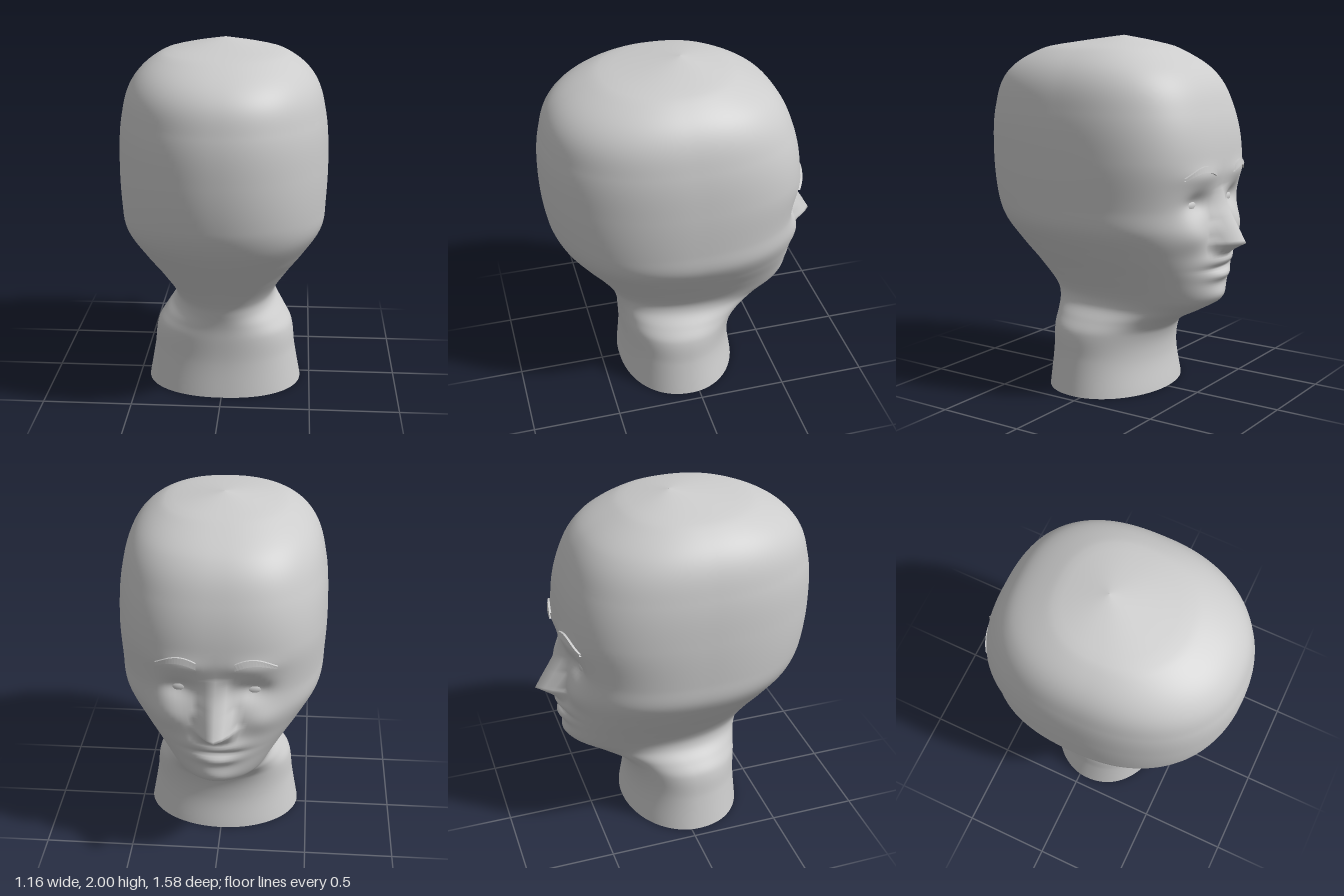
import * as THREE from 'three';

// Horizontal cross-sections: y, half width, face z, back z, squareness of the face half
const ROWS = [
  [0, .445, -.30, .39, 2],
  [.2, .41, -.275, .375, 2],
  [.35, .39, -.305, .38, 2],
  [.42, .345, -.38, .385, 2],
  [.49, .295, -.51, .40, 2],
  [.56, .30, -.61, .425, 2.1],
  [.7, .385, -.64, .52, 2.2],
  [.83, .475, -.645, .62, 2.3],
  [.97, .555, -.635, .715, 2.5],
  [1.1, .57, -.625, .765, 2.6],
  [1.35, .578, -.645, .792, 2.7],
  [1.6, .56, -.60, .775, 2.6],
  [1.8, .495, -.49, .69, 2.5],
  [1.93, .345, -.28, .46, 2.4],
  [1.97, .185, -.14, .22, 2.3],
  [2, .002, -.002, .002, 2.2],
];

// Smooth cubic interpolation of the cross-section values at height y
function section(y) {
  let i = 0;
  while (i < ROWS.length - 2 && y > ROWS[i + 1][0]) i++;
  const a = ROWS[i], b = ROWS[i + 1], h = b[0] - a[0], t = (y - a[0]) / h;
  const slope = (j, k) => {
    const p = ROWS[Math.max(j - 1, 0)], q = ROWS[Math.min(j + 1, ROWS.length - 1)];
    return (q[k] - p[k]) / (q[0] - p[0]);
  };
  const [, w, zf, zb, n] = a.map((v, k) =>
    v * (1 + 2 * t) * (1 - t) ** 2 + b[k] * t * t * (3 - 2 * t) +
    h * (slope(i, k) * t * (1 - t) ** 2 - slope(i + 1, k) * t * t * (1 - t)));
  return { w, n, mid: (zf + zb) / 2, depth: (zb - zf) / 2 };
}

const bump = (x, y, cx, cy, sx, sy) =>
  Math.exp(-(((x - cx) / sx) ** 2) - ((y - cy) / sy) ** 2);

// How far the features push the face forward at (x, y)
function features(x, y) {
  const ax = Math.abs(x);
  let f = 0;
  // nose: a wedge growing from the bridge to the tip, then tucking under
  if (y > .82 && y < 1.2) {
    const k = y > .9 ? (1.2 - y) / .3 : (y - .82) / .08;
    const half = y > .9 ? .05 + .07 * k : .12;
    const side = Math.max(0, 1 - ax / half);
    f += .15 * k * side * (1.5 - .5 * side);
  }
  f += .035 * bump(ax, y, 0, .8, .13, .035);     // upper lip
  f += .03 * bump(ax, y, 0, .71, .11, .03);      // lower lip
  f -= .012 * bump(ax, y, 0, .755, .14, .014);   // mouth line
  f += .02 * bump(ax, y, 0, .59, .1, .05);       // chin
  f += .025 * bump(ax, y, .24, .95, .1, .08);    // cheeks
  f -= .045 * bump(ax, y, .19, 1.12, .09, .06);  // eye sockets
  f += .015 * bump(ax, y, .18, 1.27, .14, .05);  // brow ridge
  return f;
}

// z of the face surface at (x, y)
function faceZ(x, y) {
  const s = section(y);
  const r = Math.max(0, 1 - Math.abs(x / s.w) ** s.n) ** (1 / s.n);
  return s.mid - s.depth * r - features(x, y);
}

// Index a grid of rows x cols points, optionally closed around
function gridGeometry(pos, rows, cols, closed) {
  const idx = [];
  for (let r = 0; r < rows - 1; r++) {
    for (let c = 0; c < (closed ? cols : cols - 1); c++) {
      const a = r * cols + c, b = r * cols + (c + 1) % cols;
      idx.push(a, a + cols, b, b, a + cols, b + cols);
    }
  }
  const g = new THREE.BufferGeometry();
  g.setAttribute('position', new THREE.Float32BufferAttribute(pos, 3));
  g.setIndex(idx);
  g.computeVertexNormals();
  return g;
}

function headGeometry() {
  const N = 128, ROWCOUNT = 161, pos = [];
  for (let r = 0; r < ROWCOUNT; r++) {
    const y = 2 * r / (ROWCOUNT - 1), s = section(y);
    for (let c = 0; c < N; c++) {
      const a = c / N * Math.PI * 2, ca = Math.cos(a), sa = Math.sin(a);
      const e = 2 / (sa < 0 ? s.n : 2.2);
      const x = s.w * Math.sign(ca) * Math.abs(ca) ** e;
      let z = s.mid + s.depth * Math.sign(sa) * Math.abs(sa) ** e;
      if (sa < 0) z -= features(x, y) * Math.min(1, -sa * 2);
      pos.push(x, y, z);
    }
  }
  return gridGeometry(pos, ROWCOUNT, N, true);
}

// Thin arched strip closed around its four edges, lying on the forehead
function browGeometry(side) {
  const pos = [], steps = 14;
  for (let i = 0; i <= steps; i++) {
    const t = i / steps, x = side * (.1 + .22 * t);
    const y = 1.265 + .045 * Math.sin(Math.PI * (.15 + .85 * t));
    const h = .018 * (1 - .55 * t * t);
    for (const [dy, out] of [[-h, -.004], [-h, .012], [h, .012], [h, -.004]]) {
      pos.push(x, y + dy, faceZ(x, y + dy) - out);
    }
  }
  return gridGeometry(pos, steps + 1, 4, true);
}

export function createModel() {
  const skin = new THREE.MeshStandardMaterial({ color: 0xcccccc, side: THREE.DoubleSide });
  skin.name = 'plainGrey';
  const model = new THREE.Group();
  model.name = 'headBust';
  const add = (name, geometry) => {
    const mesh = new THREE.Mesh(geometry, skin);
    mesh.name = name;
    model.add(mesh);
    return mesh;
  };

  add('headAndNeck', headGeometry());

  // the face looks towards -z
  for (const side of [-1, 1]) {
    const label = side > 0 ? 'left' : 'right';
    add(label + 'Eyebrow', browGeometry(side).toNonIndexed()).geometry.computeVertexNormals();
    const eye = add(label + 'Eye', new THREE.SphereGeometry(.05, 20, 14));
    eye.scale.set(1.2, .7, .6);
    eye.position.set(side * .19, 1.11, faceZ(side * .19, 1.11) + .022);
  }
  return model;
}
